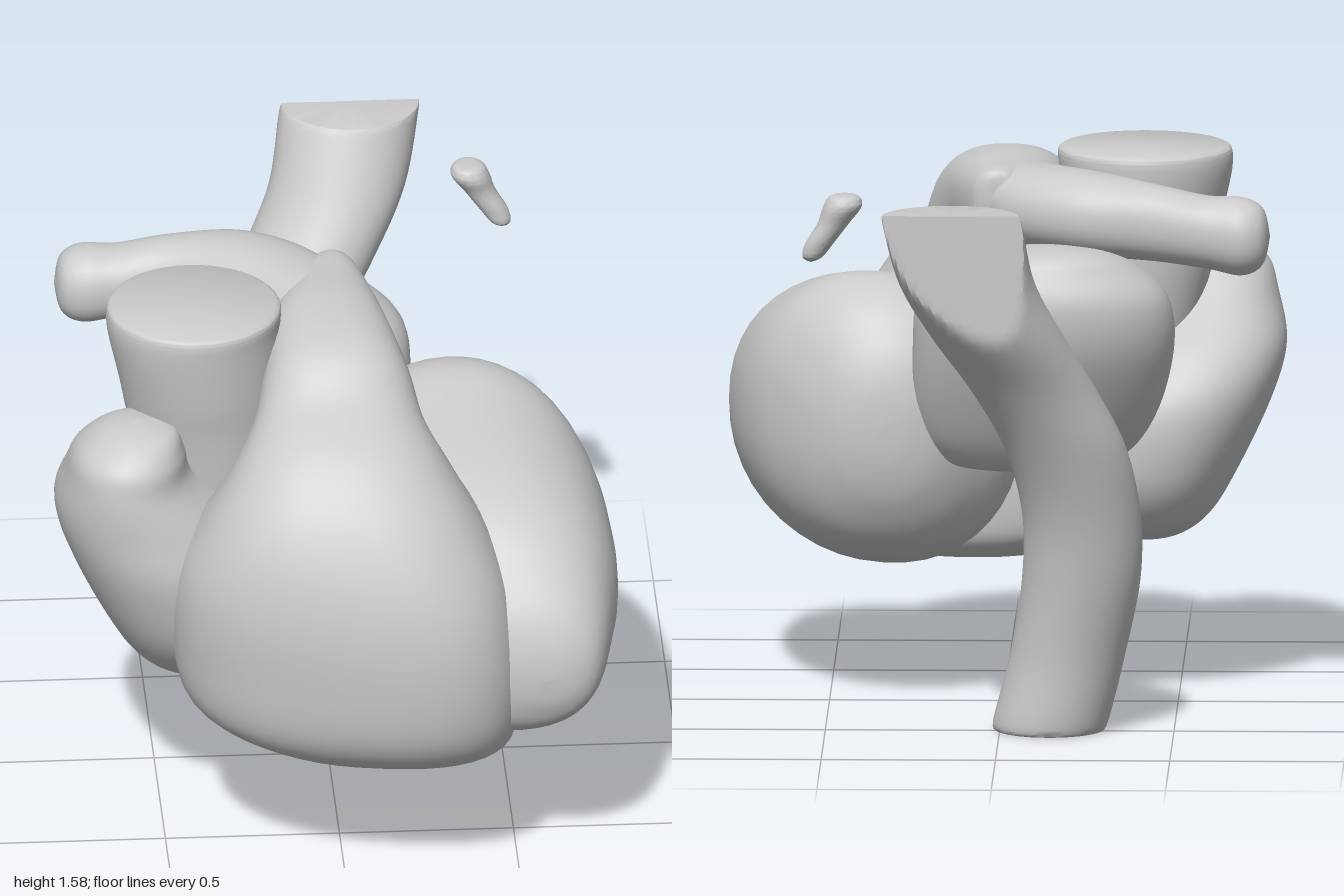
import * as THREE from 'three';
import { toCreasedNormals } from 'three/addons/utils/BufferGeometryUtils.js';

const SIDES = 44;
const STEPS = 7;
const rad = THREE.MathUtils.degToRad;

// Smooth interpolation of one ring parameter
function catmull(a, b, c, d, t) {
  return 0.5 * (2 * b + (c - a) * t + (2 * a - 5 * b + 4 * c - d) * t * t + (3 * b - a - 3 * c + d) * t * t * t);
}

// Skin a row of rings: [x, y, z, half width, half depth, tilt back, yaw, skew]
function loft(name, rings, power = 2) {
  const rows = [];
  const ring = (i) => rings[THREE.MathUtils.clamp(i, 0, rings.length - 1)];
  for (let i = 0; i < rings.length - 1; i++) {
    const last = i === rings.length - 2;
    for (let s = 0; s < STEPS + (last ? 1 : 0); s++) {
      const row = [];
      for (let k = 0; k < 8; k++) {
        row.push(catmull(...[-1, 0, 1, 2].map((o) => ring(i + o)[k] ?? 0), s / STEPS));
      }
      rows.push(row);
    }
  }

  const pos = [], index = [];
  const p = new THREE.Vector3(), X = new THREE.Vector3(1, 0, 0), Y = new THREE.Vector3(0, 1, 0);
  const round = (v) => Math.sign(v) * Math.pow(Math.abs(v), 2 / power);
  // Everything is cut flat at the top and at the back
  const push = (x, y, z) => pos.push(x, Math.min(y, 1.58), Math.max(z, -1));
  for (const [x, y, z, a, b, tilt, yaw, skew] of rows) {
    for (let j = 0; j < SIDES; j++) {
      const t = (j / SIDES) * Math.PI * 2;
      const u = Math.max(a, 0) * round(Math.cos(t));
      p.set(u, 0, Math.max(b, 0) * round(Math.sin(t)) + u * skew);
      p.applyAxisAngle(X, -rad(tilt)).applyAxisAngle(Y, rad(yaw));
      push(x + p.x, y + p.y, z + p.z);
    }
  }
  const n = rows.length;
  const bottom = n * SIDES, top = bottom + 1;
  push(...rows[0].slice(0, 3));
  push(...rows[n - 1].slice(0, 3));
  for (let j = 0; j < SIDES; j++) {
    const k = (j + 1) % SIDES;
    for (let i = 0; i < n - 1; i++) {
      const a = i * SIDES, b = a + SIDES;
      index.push(a + j, b + j, a + k, b + j, b + k, a + k);
    }
    const e = (n - 1) * SIDES;
    index.push(bottom, j, k, top, e + k, e + j);
  }
  const geo = new THREE.BufferGeometry();
  geo.setAttribute('position', new THREE.Float32BufferAttribute(pos, 3));
  geo.setIndex(index);
  const mesh = new THREE.Mesh(toCreasedNormals(geo, 0.75), new THREE.MeshStandardMaterial({ color: 0xcccccc }));
  mesh.name = name;
  return mesh;
}

export function createModel() {
  const heart = new THREE.Group();
  heart.name = 'heart';

  // Front chamber, narrowing upwards into the trunk that bends back
  heart.add(loft('rightVentricle', [
    [0.12, 0.33, 0.56, 0, 0, 0, 0, 0],
    [0.12, 0.34, 0.56, 0.17, 0.13, 0, 0, 0.1],
    [0.1, 0.39, 0.58, 0.36, 0.28, 0, 0, 0.14],
    [0.03, 0.5, 0.6, 0.47, 0.35, 0, 0, 0.19],
    [0.01, 0.7, 0.61, 0.495, 0.372, 0, 0, 0.2],
    [0, 0.9, 0.61, 0.475, 0.365, 3, 0, 0.16],
    [0, 1.05, 0.57, 0.41, 0.345, 14, 0, 0.08],
    [0, 1.17, 0.51, 0.325, 0.29, 30, 0, 0.02],
    [0, 1.27, 0.43, 0.25, 0.21, 48, 0, 0],
    [0, 1.36, 0.35, 0.215, 0.195, 66, 0, 0],
    [-0.01, 1.43, 0.17, 0.175, 0.145, 85, 0, 0],
    [0, 1.45, 0.0, 0.125, 0.12, 90, 0, 0],
    [0.015, 1.47, -0.1, 0.075, 0.095, 90, 0, 0],
    [0.015, 1.49, -0.13, 0.04, 0.06, 90, 0, 0],
    [0.015, 1.49, -0.135, 0, 0, 90, 0, 0],
  ], 2.45));

  // Egg-shaped side chamber, from front to back
  heart.add(loft('leftVentricle', [
    [0.57, 0.68, 0.9, 0, 0, 90, 0, 0],
    [0.56, 0.68, 0.885, 0.11, 0.1, 90, 0, 0],
    [0.52, 0.695, 0.83, 0.215, 0.205, 90, 0, 0.04],
    [0.445, 0.74, 0.69, 0.33, 0.315, 90, 0, 0.06],
    [0.385, 0.765, 0.5, 0.415, 0.385, 90, 0, 0.06],
    [0.365, 0.795, 0.2, 0.415, 0.415, 90, 0, 0.06],
    [0.345, 0.82, 0, 0.375, 0.42, 90, 0, 0.06],
    [0.34, 0.83, -0.14, 0.28, 0.36, 90, 0, 0.04],
    [0.335, 0.835, -0.23, 0.18, 0.24, 90, 0, 0],
    [0.34, 0.84, -0.27, 0.09, 0.12, 90, 0, 0],
    [0.34, 0.84, -0.28, 0, 0, 90, 0, 0],
  ], 2.2));

  // Ear-shaped chamber on the model's right
  heart.add(loft('rightAtrium', [
    [-0.39, 0.44, 0.22, 0, 0],
    [-0.39, 0.455, 0.22, 0.11, 0.14],
    [-0.4, 0.52, 0.22, 0.19, 0.25],
    [-0.42, 0.65, 0.23, 0.25, 0.34],
    [-0.47, 0.85, 0.25, 0.295, 0.375],
    [-0.54, 1.0, 0.29, 0.265, 0.33],
    [-0.595, 1.13, 0.36, 0.185, 0.25],
    [-0.595, 1.22, 0.4, 0.155, 0.19],
    [-0.57, 1.285, 0.4, 0.1, 0.11],
    [-0.57, 1.305, 0.4, 0, 0],
  ], 2.15));

  // Rear chamber
  heart.add(loft('leftAtrium', [
    [-0.07, 0.7, -0.14, 0, 0],
    [-0.07, 0.71, -0.14, 0.2, 0.12],
    [-0.08, 0.77, -0.15, 0.3, 0.18],
    [-0.1, 0.9, -0.19, 0.355, 0.225],
    [-0.12, 1.08, -0.25, 0.375, 0.255],
    [-0.12, 1.22, -0.285, 0.36, 0.245],
    [-0.12, 1.31, -0.305, 0.28, 0.195],
    [-0.13, 1.365, -0.34, 0.16, 0.115],
    [-0.13, 1.38, -0.34, 0, 0],
  ], 2.15));

  // Wide upright vessel with a flat top
  heart.add(loft('aorta', [
    [-0.32, 0.9, 0.2, 0.19, 0.19],
    [-0.36, 1.2, 0.21, 0.225, 0.215],
    [-0.38, 1.35, 0.22, 0.235, 0.23],
    [-0.4, 1.5, 0.22, 0.248, 0.248],
    [-0.4, 1.565, 0.22, 0.25, 0.25],
    [-0.4, 1.58, 0.22, 0.235, 0.235],
  ]));

  // Branch leaving the trunk sideways
  heart.add(loft('pulmonaryBranch', [
    [-0.01, 1.45, 0.12, 0.14, 0.11, 90, 25],
    [-0.11, 1.45, -0.07, 0.16, 0.12, 90, 42],
    [-0.26, 1.45, -0.2, 0.145, 0.12, 90, 62],
    [-0.44, 1.435, -0.255, 0.1, 0.11, 90, 80],
    [-0.59, 1.41, -0.265, 0.1, 0.105, 90, 90],
    [-0.69, 1.4, -0.275, 0.108, 0.112, 90, 90],
    [-0.75, 1.4, -0.275, 0.075, 0.08, 90, 90],
    [-0.77, 1.4, -0.275, 0, 0, 90, 90],
  ], 2.2));

  // Long curved vessel behind, cut flat at the top and back
  heart.add(loft('descendingVessel', [
    [-0.145, 0, -0.47, 0.145, 0.14],
    [-0.145, 0.02, -0.47, 0.165, 0.16],
    [-0.195, 0.22, -0.485, 0.165, 0.162],
    [-0.235, 0.45, -0.525, 0.17, 0.165],
    [-0.235, 0.65, -0.57, 0.17, 0.165],
    [-0.19, 0.85, -0.64, 0.175, 0.165],
    [-0.1, 1.03, -0.71, 0.18, 0.175],
    [0, 1.2, -0.81, 0.19, 0.185],
    [0.085, 1.37, -0.9, 0.195, 0.185],
    [0.125, 1.56, -0.995, 0.2, 0.185],
    [0.13, 1.58, -1, 0.19, 0.175],
  ]));

  // Small loose vessel piece
  heart.add(loft('vesselFragment', [
    [0.54, 1.375, -0.595, 0, 0],
    [0.535, 1.39, -0.595, 0.028, 0.027],
    [0.515, 1.43, -0.6, 0.04, 0.037],
    [0.475, 1.49, -0.605, 0.045, 0.045],
    [0.448, 1.54, -0.605, 0.055, 0.06],
    [0.443, 1.57, -0.605, 0.04, 0.045],
    [0.443, 1.575, -0.605, 0, 0],
  ]));

  return heart;
}
